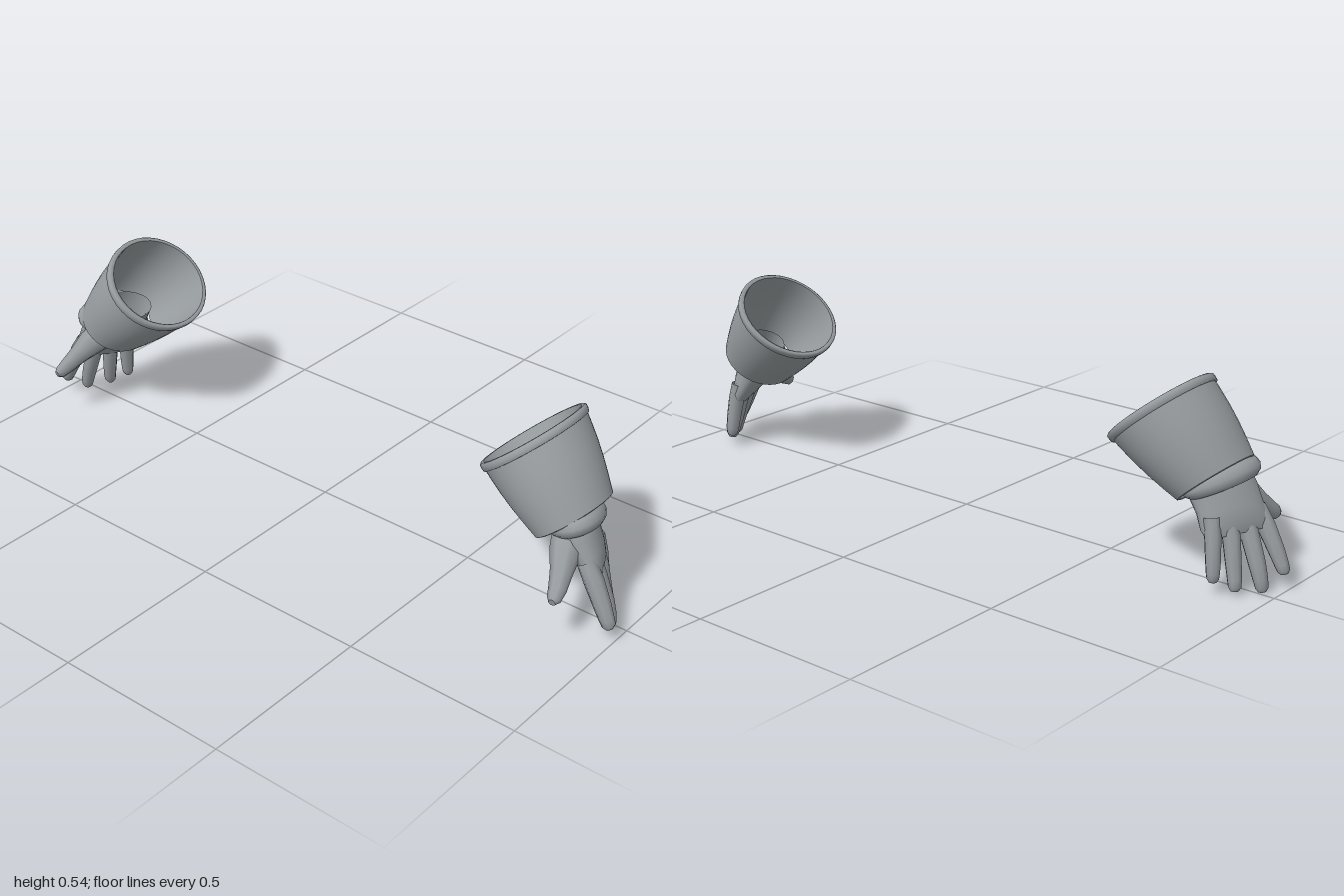
import * as THREE from 'three';

const V = (x, y, z) => new THREE.Vector3(x, y, z);
const SIDE_DIR = V(0.5, 0.08, 0.86).normalize(); // across the knuckles
const glove = new THREE.MeshStandardMaterial({ color: 0x979c9f, side: THREE.DoubleSide });
glove.name = 'grey leather';

// Skin over elliptical sections { c: centre, u, v: half-axis vectors }; side mirrors in x.
function loft(name, sections, segs, side, inward = false) {
  const pos = [], index = [];
  for (const { c, u, v } of sections) {
    for (let j = 0; j < segs; j++) {
      const a = (j / segs) * Math.PI * 2;
      const p = c.clone().addScaledVector(u, Math.cos(a)).addScaledVector(v, Math.sin(a));
      pos.push(p.x * side, p.y, p.z);
    }
  }
  const first = sections[0], last = sections[sections.length - 1];
  const along = last.c.clone().sub(first.c);
  const flip = (first.u.clone().cross(first.v).dot(along) * side < 0) !== inward;
  for (let i = 0; i < sections.length - 1; i++) {
    for (let j = 0; j < segs; j++) {
      const k = (j + 1) % segs;
      const a = i * segs + j, b = i * segs + k, c = b + segs, d = a + segs;
      if (flip) index.push(a, d, b, b, d, c);
      else index.push(a, b, d, b, c, d);
    }
  }
  const geo = new THREE.BufferGeometry();
  geo.setAttribute('position', new THREE.Float32BufferAttribute(pos, 3));
  geo.setIndex(index);
  geo.computeVertexNormals();
  const mesh = new THREE.Mesh(geo, glove);
  mesh.name = name;
  return mesh;
}

// Close a loft with a hard-edged cap: repeat the last ring, then shrink it to a point.
function capped(sections) {
  const e = sections[sections.length - 1];
  const point = { c: e.c, u: e.u.clone().multiplyScalar(0.001), v: e.v.clone().multiplyScalar(0.001) };
  return [...sections, e, point];
}

// Tapered digit along points [x, y, z, radius].
function digit(name, points, side) {
  const centres = points.map(p => V(p[0], p[1], p[2]));
  const sections = points.map((p, i) => {
    const w = centres[Math.min(i + 1, points.length - 1)].clone()
      .sub(centres[Math.max(i - 1, 0)]).normalize();
    const ref = name === 'thumb' ? V(0.9, 0.4, -0.1) : SIDE_DIR;
    const u = ref.clone().addScaledVector(w, -ref.dot(w)).normalize();
    const v = w.clone().cross(u);
    return { c: centres[i], u: u.multiplyScalar(p[3]), v: v.multiplyScalar(p[3] * 1.08) };
  });
  return loft(name, capped(sections), 8, side);
}

// Section of the flared cuff: t = 0 at the wrist, 1 at the wide opening.
function cuffSection(t, grow = 0) {
  const bulge = 0.006 * Math.sin(t * Math.PI);
  const r = THREE.MathUtils.lerp(0.106, 0.146, t) + bulge + grow;
  const rz = THREE.MathUtils.lerp(0.121, 0.156, t) + bulge + grow;
  return {
    c: V(0.816, 0.279, -0.003).lerp(V(0.659, 0.445, -0.03), t),
    u: V(0.755, 0.656, 0).multiplyScalar(r),
    v: V(0, 0, rz),
  };
}

function buildCuff(side) {
  const cuff = new THREE.Group();
  cuff.name = 'cuff';
  const ts = [0, 0.2, 0.4, 0.6, 0.8, 1];
  cuff.add(loft('cuffOuter', ts.map(t => cuffSection(t)), 40, side));
  cuff.add(loft('cuffLining', ts.map(t => cuffSection(t, -0.008)), 40, side, true));
  // hem joining the two walls at the wrist end
  cuff.add(loft('cuffHem', [cuffSection(0, -0.008), cuffSection(-0.01, -0.004), cuffSection(0)], 40, side));
  // rolled lip around the wide opening
  const lip = [[0.9, 0], [0.905, 0.005], [0.95, 0.006], [0.985, 0.005], [1.0, 0], [0.99, -0.008]];
  cuff.add(loft('cuffLip', lip.map(([t, g]) => cuffSection(t, g)), 40, side));
  return cuff;
}

function buildHand(side) {
  const hand = new THREE.Group();
  hand.name = 'hand';

  // palm, running from inside the cuff to the knuckles: centre, half width, half thickness
  const thick = V(0.82, 0.34, -0.46).normalize();
  const palm = [
    [V(0.785, 0.335, -0.01), 0.078, 0.058],
    [V(0.815, 0.285, 0.002), 0.09, 0.06],
    [V(0.835, 0.25, 0.003), 0.092, 0.055],
    [V(0.86, 0.21, -0.001), 0.09, 0.047],
    [V(0.88, 0.175, -0.005), 0.096, 0.035],
    [V(0.89, 0.15, -0.005), 0.088, 0.022],
  ].map(([c, a, b]) => ({ c, u: SIDE_DIR.clone().multiplyScalar(a), v: thick.clone().multiplyScalar(b) }));
  hand.add(loft('palm', capped(palm), 20, side));

  // padded roll around the wrist
  const axis = V(0.4, -0.9, 0.06).normalize();
  const roll = [[-0.035, 0.86], [-0.022, 0.97], [-0.006, 1.02], [0.008, 0.98], [0.018, 0.86], [0.02, 0.7]]
    .map(([d, s]) => ({
      c: V(0.83, 0.275, 0.004).addScaledVector(axis, d),
      u: V(0.032, 0.02, 0.1).multiplyScalar(s),
      v: V(0.069, 0.031, -0.015).multiplyScalar(s),
    }));
  hand.add(loft('wristRoll', roll, 28, side));

  // four fingers and the thumb
  const digits = {
    indexFinger: [[0.9, 0.205, 0.06, 0.024], [0.928, 0.16, 0.063, 0.025], [0.96, 0.1, 0.066, 0.022],
      [0.977, 0.065, 0.067, 0.019], [0.984, 0.05, 0.067, 0.017], [0.987, 0.042, 0.067, 0.01]],
    middleFinger: [[0.885, 0.2, 0.02, 0.024], [0.907, 0.15, 0.018, 0.025], [0.937, 0.075, 0.014, 0.023],
      [0.95, 0.035, 0.013, 0.02], [0.955, 0.014, 0.013, 0.017], [0.957, 0.004, 0.013, 0.011]],
    ringFinger: [[0.868, 0.195, -0.025, 0.023], [0.885, 0.145, -0.028, 0.024], [0.9, 0.075, -0.036, 0.021],
      [0.908, 0.04, -0.041, 0.019], [0.911, 0.022, -0.044, 0.017], [0.912, 0.012, -0.046, 0.01]],
    littleFinger: [[0.848, 0.2, -0.065, 0.022], [0.858, 0.15, -0.071, 0.022], [0.866, 0.09, -0.078, 0.02],
      [0.869, 0.06, -0.081, 0.018], [0.87, 0.046, -0.082, 0.016], [0.871, 0.037, -0.083, 0.01]],
    thumb: [[0.838, 0.24, 0.05, 0.044], [0.85, 0.222, 0.083, 0.04], [0.866, 0.192, 0.12, 0.029],
      [0.88, 0.164, 0.156, 0.023], [0.886, 0.15, 0.18, 0.018], [0.888, 0.147, 0.191, 0.01]],
  };
  for (const [name, points] of Object.entries(digits)) hand.add(digit(name, points, side));
  return hand;
}

export function createModel() {
  const model = new THREE.Group();
  model.name = 'gauntlets';
  for (const side of [1, -1]) {
    const gauntlet = new THREE.Group();
    gauntlet.name = side > 0 ? 'leftGauntlet' : 'rightGauntlet';
    gauntlet.add(buildCuff(side), buildHand(side));
    model.add(gauntlet);
  }
  return model;
}
